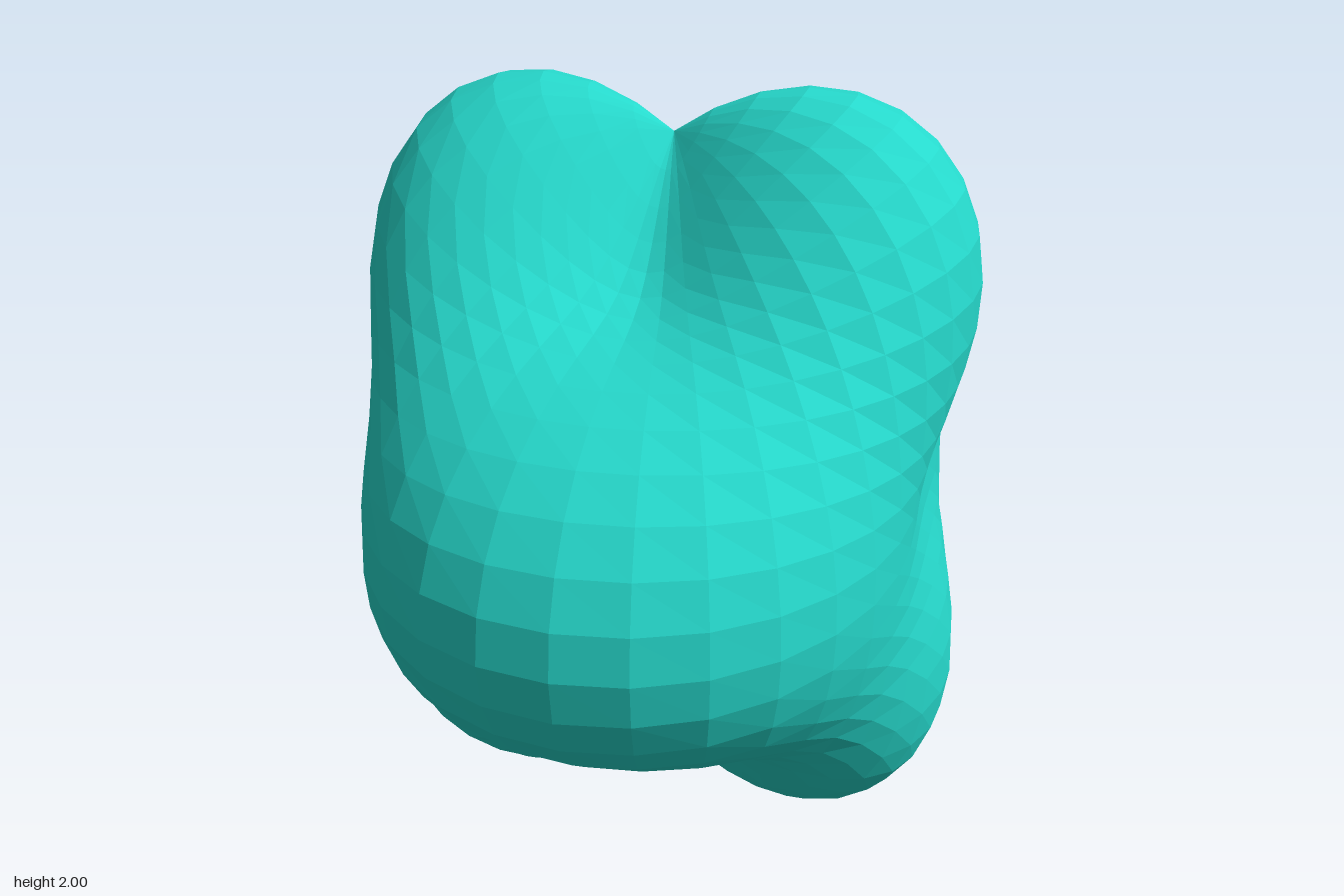
import * as THREE from 'three';

// Sphere whose radius ripples with latitude (three waves) and longitude (two waves)
function rippledSphere(radius, ripple, columns, rows) {
  const geometry = new THREE.SphereGeometry(1, columns, rows);
  const position = geometry.attributes.position;
  const p = new THREE.Vector3();
  for (let i = 0; i < position.count; i++) {
    p.fromBufferAttribute(position, i);
    const polar = Math.acos(THREE.MathUtils.clamp(p.y, -1, 1));
    const around = Math.atan2(p.z, p.x);
    const wave = Math.sin(3 * polar) * Math.sin(2 * around);
    p.multiplyScalar(radius * (1 + ripple * wave));
    position.setXYZ(i, p.x, p.y, p.z);
  }
  geometry.computeVertexNormals();
  return geometry;
}

export function createModel() {
  const group = new THREE.Group();
  group.name = 'rippledBlob';

  // Six-lobed body, faceted
  const material = new THREE.MeshStandardMaterial({ color: 0x26d9cc, flatShading: true });
  const body = new THREE.Mesh(rippledSphere(0.875, 0.25, 40, 30), material);
  body.name = 'lobedBody';
  body.position.y = 1;
  group.add(body);

  return group;
}
